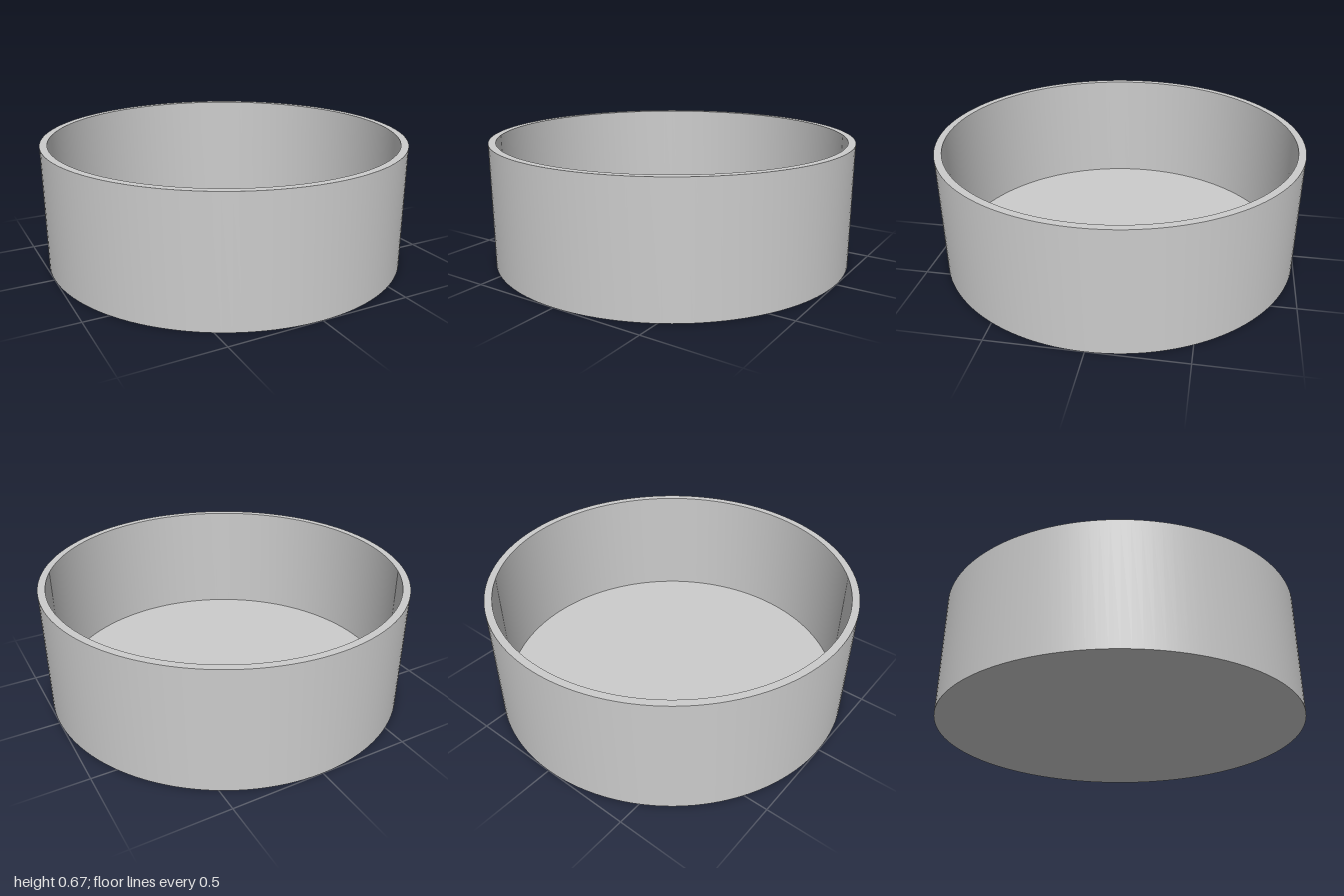
import * as THREE from 'three';
import { toCreasedNormals } from 'three/addons/utils/BufferGeometryUtils.js';

export function createModel() {
  const radius = 1, innerRadius = 0.96, height = 0.67, floorY = 0.02;

  // Closed half-section: underside, outer wall, rim, inner wall, floor
  const profile = [
    [0, 0], [radius, 0], [radius, height],
    [innerRadius, height], [innerRadius, floorY], [0, floorY],
  ].map(([x, y]) => new THREE.Vector2(x, y));

  // Smooth round walls with sharp rim and base edges
  const geometry = toCreasedNormals(new THREE.LatheGeometry(profile, 128), Math.PI / 6);
  const dish = new THREE.Mesh(geometry, new THREE.MeshStandardMaterial({ color: 0xcccccc }));
  dish.name = 'dish';

  const model = new THREE.Group();
  model.name = 'roundDish';
  model.add(dish);
  return model;
}
